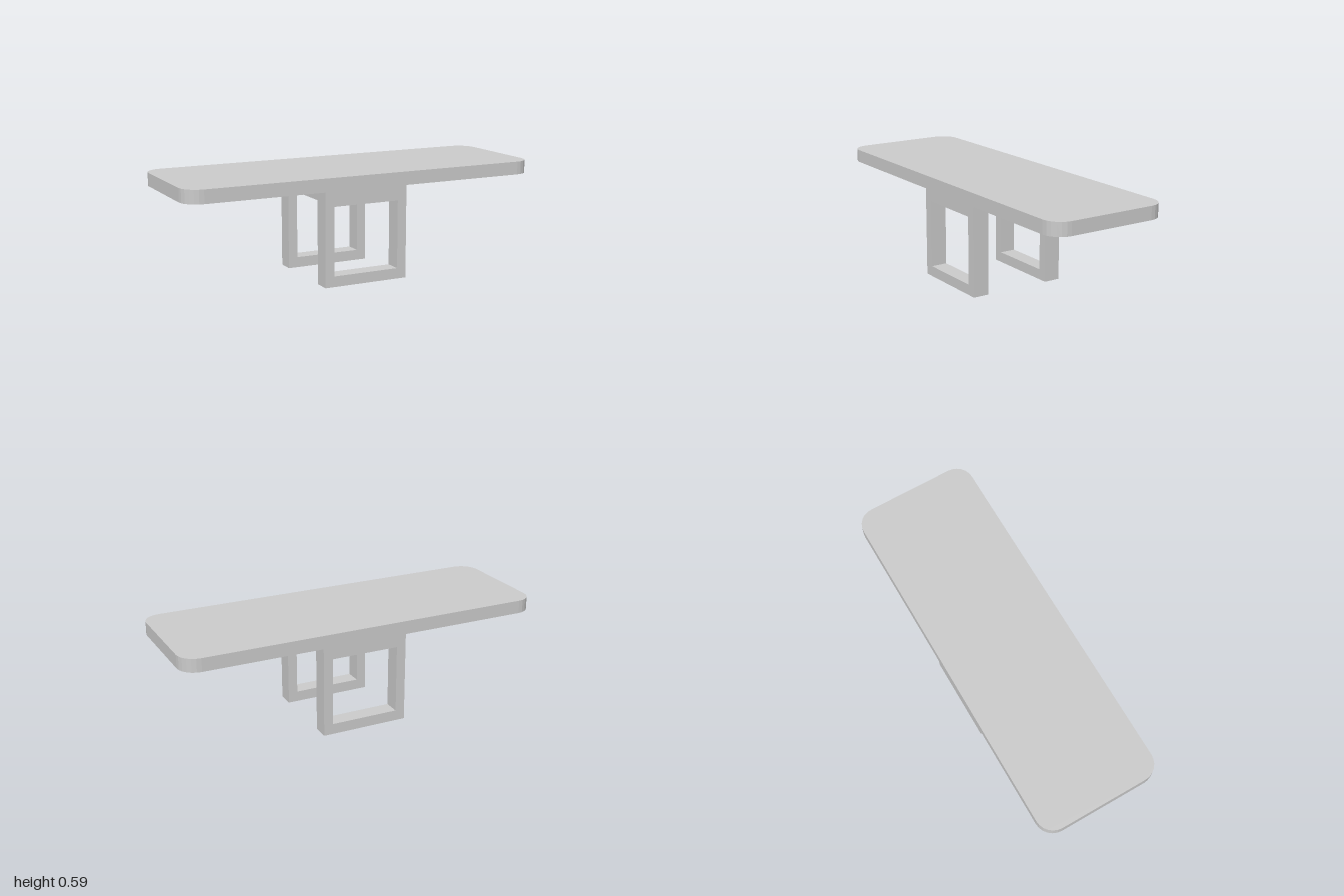
import * as THREE from 'three';

const material = new THREE.MeshStandardMaterial({ color: 0xcccccc });

function addMesh(group, name, geometry, x = 0, y = 0, z = 0) {
  const mesh = new THREE.Mesh(geometry, material);
  mesh.name = name;
  mesh.position.set(x, y, z);
  group.add(mesh);
  return mesh;
}

// Rectangle with rounded corners, centred on the origin
function roundedRect(halfW, halfH, r) {
  const s = new THREE.Shape();
  s.absarc(halfW - r, halfH - r, r, 0, Math.PI / 2);
  s.absarc(-halfW + r, halfH - r, r, Math.PI / 2, Math.PI);
  s.absarc(-halfW + r, -halfH + r, r, Math.PI, Math.PI * 1.5);
  s.absarc(halfW - r, -halfH + r, r, Math.PI * 1.5, Math.PI * 2);
  s.closePath();
  return s;
}

// Corners of an axis-aligned rectangle
function rectPoints(x0, y0, x1, y1) {
  return [[x0, y0], [x1, y0], [x1, y1], [x0, y1]].map(([x, y]) => new THREE.Vector2(x, y));
}

export function createModel() {
  const table = new THREE.Group();
  table.name = 'table';

  const topY = 0.586, underY = 0.515;   // faces of the table top
  const railY = 0.424, footY = 0.057;   // upper and lower edge of the leg openings
  const outerX = 0.238, innerX = 0.186;
  const outerZ = 0.274, innerZ = 0.183;

  // Table top with rounded corners
  const slab = new THREE.ExtrudeGeometry(roundedRect(1, 0.333, 0.095), {
    depth: topY - underY, bevelEnabled: false, curveSegments: 3,
  });
  slab.rotateX(-Math.PI / 2);
  addMesh(table, 'tableTop', slab, 0, underY, 0);

  // Two square leg frames
  const frame = new THREE.Shape(rectPoints(-outerX, 0, outerX, underY));
  frame.holes.push(new THREE.Path(rectPoints(-innerX, footY, innerX, railY)));
  const legs = new THREE.ExtrudeGeometry(frame, { depth: outerZ - innerZ, bevelEnabled: false });
  addMesh(table, 'frontLegFrame', legs, 0, 0, innerZ);
  addMesh(table, 'backLegFrame', legs, 0, 0, -outerZ);

  // Block joining the frames under the top
  addMesh(table, 'connectingBlock',
    new THREE.BoxGeometry(innerX * 2, underY - railY, innerZ * 2), 0, (underY + railY) / 2, 0);

  return table;
}
